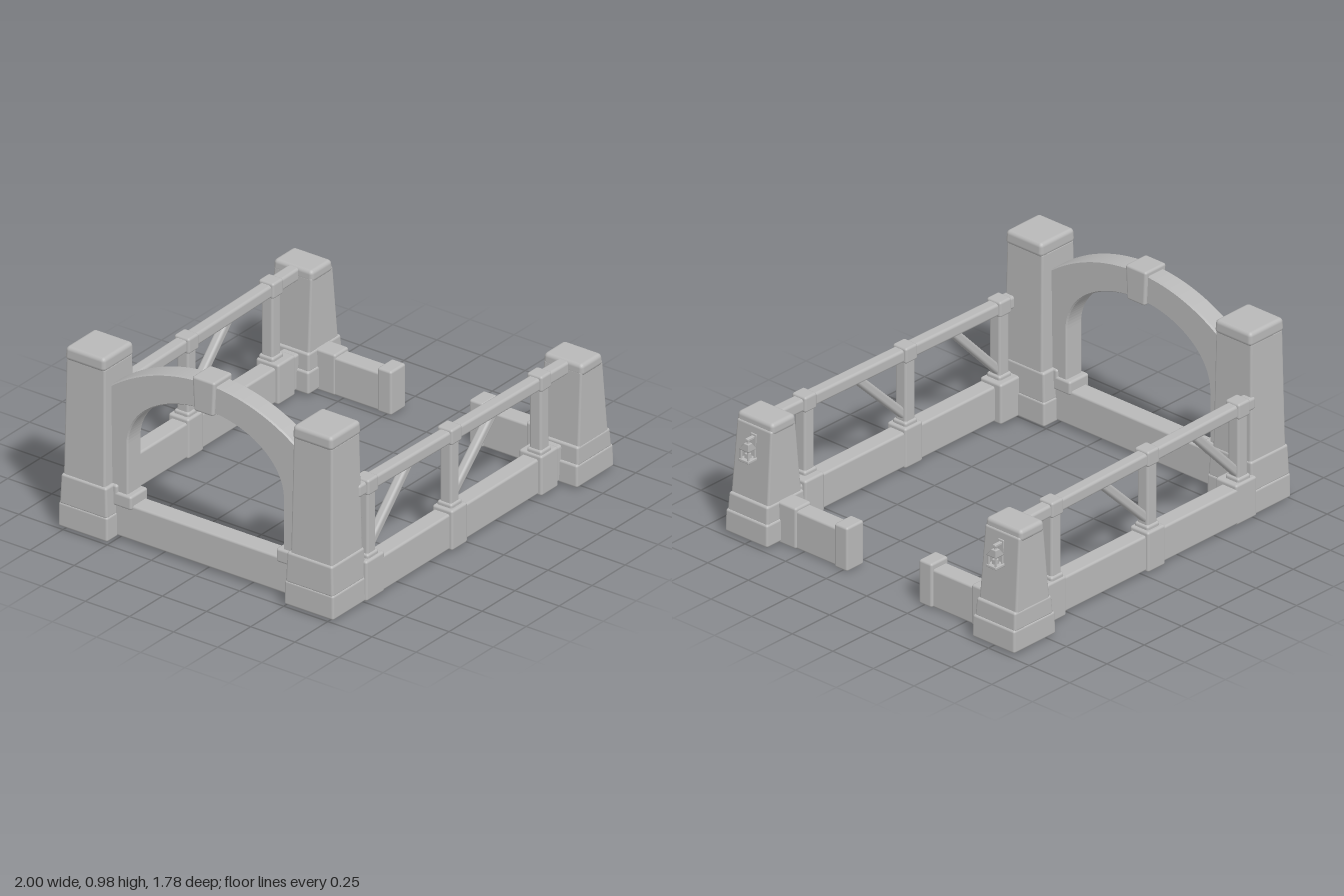
import * as THREE from 'three';
import { RoundedBoxGeometry } from 'three/addons/geometries/RoundedBoxGeometry.js';

export function createModel() {
  const model = new THREE.Group();
  model.name = 'archedCourtyard';
  const stone = new THREE.MeshStandardMaterial({ color: 0xb8b8b8 });
  stone.name = 'grey stone';

  const add = (parent, name, geometry) => {
    const mesh = new THREE.Mesh(geometry, stone);
    mesh.name = name;
    parent.add(mesh);
    return mesh;
  };

  // Worn block between two corners; tx and tz scale its top face
  const block = (parent, name, [x0, x1], [y0, y1], [z0, z1], tx = 1, tz = 1, r = 0.012) => {
    const w = x1 - x0, h = y1 - y0, d = Math.abs(z1 - z0);
    const g = new RoundedBoxGeometry(w, h, d, 2, Math.min(r, w / 3, h / 3, d / 3));
    const p = g.attributes.position;
    for (let i = 0; i < p.count; i++) {
      const t = p.getY(i) / h + 0.5;
      p.setX(i, p.getX(i) * (1 + (tx - 1) * t));
      p.setZ(i, p.getZ(i) * (1 + (tz - 1) * t));
    }
    const mesh = add(parent, name, g);
    mesh.position.set((x0 + x1) / 2, (y0 + y1) / 2, (z0 + z1) / 2);
    return mesh;
  };

  // Straight timber from a to b, with thickness t and depth d
  const beam = (parent, name, a, b, t, d) => {
    const from = new THREE.Vector3(...a), to = new THREE.Vector3(...b);
    const dir = to.clone().sub(from);
    const mesh = add(parent, name, new RoundedBoxGeometry(dir.length(), t, d, 2, 0.014));
    mesh.position.copy(from).add(to).multiplyScalar(0.5);
    mesh.quaternion.setFromUnitVectors(new THREE.Vector3(1, 0, 0), dir.normalize());
    return mesh;
  };

  for (const s of [1, -1]) {
    const side = new THREE.Group();
    side.name = s > 0 ? 'nearSide' : 'farSide';
    model.add(side);
    const z = (a, b) => [s * a, s * b];

    // Tall pillar beside the arch
    block(side, 'tallPillarFoot', [-1, -0.735], [0.015, 0.14], z(0.5, 0.78), 0.99, 0.99);
    block(side, 'tallPillarCourse', [-0.997, -0.74], [0.13, 0.285], z(0.505, 0.775), 0.97, 0.95);
    block(side, 'tallPillarShaft', [-0.985, -0.748], [0.26, 0.88], z(0.525, 0.762), 0.9, 0.93);
    block(side, 'tallPillarCap', [-0.982, -0.75], [0.865, 0.935], z(0.53, 0.758), 0.97, 0.97, 0.02);

    // Short pillar at the gate
    block(side, 'shortPillarFoot', [0.7, 0.982], [0.015, 0.13], z(0.63, 0.892), 0.98, 0.98);
    block(side, 'shortPillarCourse', [0.712, 0.972], [0.12, 0.215], z(0.638, 0.887), 0.95, 0.96);
    block(side, 'shortPillarShaft', [0.728, 0.955], [0.2, 0.58], z(0.648, 0.88), 0.72, 0.92);
    block(side, 'shortPillarCap', [0.758, 0.92], [0.555, 0.615], z(0.652, 0.878), 0.97, 0.97, 0.02);

    // Gate wall with its end block and step
    block(side, 'gateWall', [0.785, 0.88], [0.005, 0.2], z(0.28, 0.68));
    block(side, 'gateEndBlock', [0.778, 0.892], [0.005, 0.23], z(0.22, 0.3));
    block(side, 'gateStep', [0.782, 0.888], [0.005, 0.215], z(0.54, 0.66));

    // Low side wall with blocks under the posts
    block(side, 'lowWall', [-0.76, 0.73], [0.02, 0.2], z(0.698, 0.79));
    block(side, 'firstWallBlock', [-0.76, -0.62], [0.015, 0.22], z(0.66, 0.79));
    block(side, 'middleWallBlock', [-0.13, -0.012], [0.015, 0.22], z(0.69, 0.805));
    block(side, 'lastWallBlock', [0.54, 0.67], [0.015, 0.22], z(0.68, 0.81));

    // Fence: posts with foot and collar, rail and braces
    for (const [x, zc] of [[-0.69, 0.735], [-0.07, 0.745], [0.59, 0.76]]) {
      const c = s * zc;
      block(side, 'fencePost', [x - 0.033, x + 0.033], [0.2, 0.6], [c - 0.033, c + 0.033]);
      block(side, 'postFoot', [x - 0.042, x + 0.042], [0.205, 0.24], [c - 0.042, c + 0.042]);
      block(side, 'postCollar', [x - 0.04, x + 0.04], [0.54, 0.62], [c - 0.043, c + 0.043]);
    }
    beam(side, 'rail', [-0.78, 0.578, s * 0.733], [0.79, 0.576, s * 0.765], 0.064, 0.064);
    beam(side, 'firstBrace', [-0.68, 0.25, s * 0.735], [-0.37, 0.57, s * 0.74], 0.045, 0.045);
    beam(side, 'middleBrace', [-0.06, 0.26, s * 0.746], [0.26, 0.57, s * 0.752], 0.045, 0.045);

    // Arch foot steps
    block(side, 'archFootStep', [-0.94, -0.81], [0.18, 0.25], z(0.41, 0.52));
    block(side, 'archFootUpperStep', [-0.94, -0.81], [0.2, 0.285], z(0.49, 0.56));

    // Lantern on a bracket
    const lantern = new THREE.Group();
    lantern.name = 'lantern';
    lantern.position.set(0.967, 0, s * 0.762);
    side.add(lantern);
    block(lantern, 'bracketPlate', [-0.06, -0.035], [0.44, 0.54], [-0.018, 0.018], 1, 1, 0.004);
    block(lantern, 'bracketArm', [-0.05, 0.01], [0.515, 0.53], [-0.009, 0.009], 1, 1, 0.004);
    block(lantern, 'lanternHanger', [-0.006, 0.006], [0.49, 0.525], [-0.006, 0.006], 1, 1, 0.003);
    block(lantern, 'lanternFloor', [-0.031, 0.031], [0.415, 0.43], [-0.031, 0.031], 1, 1, 0.004);
    block(lantern, 'lanternRoof', [-0.031, 0.031], [0.475, 0.505], [-0.031, 0.031], 0.4, 0.4, 0.004);
    block(lantern, 'lanternCore', [-0.012, 0.012], [0.425, 0.455], [-0.012, 0.012], 1, 1, 0.004);
    for (const a of [-0.022, 0.022]) for (const b of [-0.022, 0.022])
      block(lantern, 'lanternBar', [a - 0.005, a + 0.005], [0.425, 0.48], [b - 0.005, b + 0.005], 1, 1, 0.002);
  }

  // Back sill
  block(model, 'backSill', [-0.925, -0.82], [0.02, 0.2], [-0.53, 0.53]);

  // Arch: shallow outer curve over a half-ellipse opening with straight legs
  const shape = new THREE.Shape();
  shape.moveTo(0.55, 0.18);
  shape.lineTo(0.55, 0.765);
  const R = 0.89, end = Math.asin(0.55 / R);
  shape.absarc(0, 0.962 - R, R, Math.PI / 2 - end, Math.PI / 2 + end, false);
  shape.lineTo(-0.55, 0.18);
  shape.lineTo(-0.44, 0.18);
  shape.lineTo(-0.44, 0.51);
  shape.absellipse(0, 0.51, 0.44, 0.31, Math.PI, 0, true, 0);
  shape.lineTo(0.44, 0.18);
  const archGeometry = new THREE.ExtrudeGeometry(shape, {
    depth: 0.09, curveSegments: 28, bevelThickness: 0.008, bevelSize: 0.006, bevelOffset: -0.006, bevelSegments: 1,
  });
  archGeometry.translate(0, 0, -0.045).rotateY(Math.PI / 2);
  add(model, 'arch', archGeometry).position.x = -0.873;

  // Keystone, wider towards the top
  block(model, 'keystone', [-0.942, -0.803], [0.808, 0.983], [-0.055, 0.055], 1, 1.18);

  return model;
}
